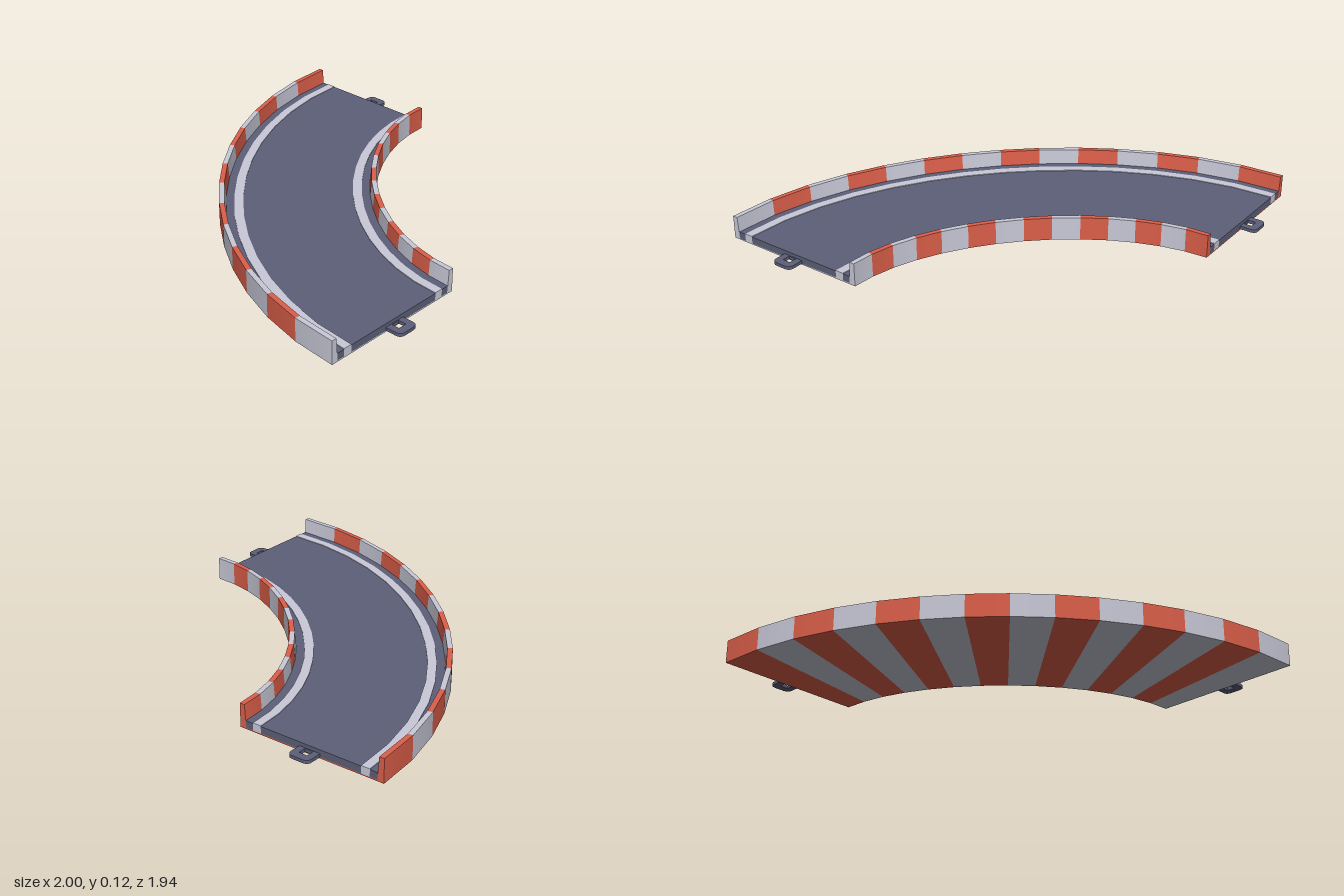
import * as THREE from 'three';

const material = (name, color) => {
  const m = new THREE.MeshStandardMaterial({ color });
  m.name = name;
  return m;
};

export function createModel() {
  const group = new THREE.Group();
  group.name = 'curvedTrackPiece';
  const red = material('red', 0xdc5f4a);
  const white = material('white', 0xc9c9d8);
  const asphalt = material('asphalt', 0x5c5f78);

  // Centre line of the bend
  const N = 14;
  const R = 1.51, K = 0.49;
  const centre = new THREE.Vector3(0.888, 0, 0.913);
  const u0 = new THREE.Vector3(-1, 0, -0.02);
  const u1 = new THREE.Vector3(0.02, 0, -1);
  const p0 = centre.clone().addScaledVector(u0, R);
  const p3 = centre.clone().addScaledVector(u1, R);
  const path = new THREE.CubicBezierCurve3(
    p0, p0.clone().addScaledVector(u1, R * K),
    p3.clone().addScaledVector(u0, R * K), p3);

  // Frames along the bend: n points to the outside of the curve
  const stations = [];
  for (let i = 0; i <= N; i++) {
    const t = path.getTangentAt(i / N);
    stations.push({ p: path.getPointAt(i / N), t, n: new THREE.Vector3(t.z, 0, -t.x) });
  }

  // Sweep a counter-clockwise [offset, height] profile from station i0 to i1
  function sweep(profile, i0, i1) {
    const pos = [], nor = [];
    const add = (s, [o, y], normal) => {
      pos.push(s.p.x + s.n.x * o, y, s.p.z + s.n.z * o);
      nor.push(normal.x, normal.y, normal.z);
    };
    for (let i = i0; i < i1; i++) {
      const s = stations[i], e = stations[i + 1];
      profile.forEach((a, j) => {
        const b = profile[(j + 1) % profile.length];
        const len = Math.hypot(b[0] - a[0], b[1] - a[1]);
        const no = (b[1] - a[1]) / len, ny = (a[0] - b[0]) / len;
        const ns = new THREE.Vector3(s.n.x * no, ny, s.n.z * no);
        const ne = new THREE.Vector3(e.n.x * no, ny, e.n.z * no);
        add(s, a, ns); add(s, b, ns); add(e, b, ne);
        add(s, a, ns); add(e, b, ne); add(e, a, ne);
      });
    }
    // Caps only at the two ends of the track
    const faces = THREE.ShapeUtils.triangulateShape(
      profile.map(([x, y]) => new THREE.Vector2(x, y)), []);
    for (const [a, b, c] of faces) {
      if (i0 === 0) {
        const back = stations[0].t.clone().negate();
        [a, c, b].forEach(k => add(stations[0], profile[k], back));
      }
      if (i1 === N) [a, b, c].forEach(k => add(stations[N], profile[k], stations[N].t));
    }
    const g = new THREE.BufferGeometry();
    g.setAttribute('position', new THREE.Float32BufferAttribute(pos, 3));
    g.setAttribute('normal', new THREE.Float32BufferAttribute(nor, 3));
    return g;
  }

  function addMesh(name, geometry, mat) {
    const mesh = new THREE.Mesh(geometry, mat);
    mesh.name = name;
    group.add(mesh);
    return mesh;
  }

  // Striped barriers, joined by a thin base underneath
  const barrier = [
    [-0.375, 0], [0.375, 0], [0.375, 0.115], [0.35, 0.115],
    [0.342, 0.006], [-0.342, 0.006], [-0.35, 0.115], [-0.375, 0.115],
  ];
  for (let i = 0; i < N; i++) {
    addMesh('barrierStripe', sweep(barrier, i, i + 1), i % 2 ? red : white);
  }

  // Road surface and its edge lines
  const band = (a, b, top) => [[a, 0.005], [b, 0.005], [b, top], [a, top]];
  addMesh('road', sweep(band(-0.262, 0.262, 0.04), 0, N), asphalt);
  for (const [a, b] of [[0.305, 0.344], [-0.344, -0.305]]) {
    addMesh('roadEdge', sweep(band(a, b, 0.04), 0, N), asphalt);
  }
  for (const [a, b] of [[0.262, 0.305], [-0.305, -0.262]]) {
    addMesh('edgeLine', sweep(band(a, b, 0.043), 0, N), white);
  }

  // Connector loops at both ends
  const loop = new THREE.Shape();
  loop.moveTo(-0.054, -0.03);
  loop.lineTo(0.054, -0.03);
  loop.lineTo(0.054, 0.052);
  loop.quadraticCurveTo(0.054, 0.081, 0.025, 0.081);
  loop.lineTo(-0.025, 0.081);
  loop.quadraticCurveTo(-0.054, 0.081, -0.054, 0.052);
  loop.closePath();
  const hole = new THREE.Path();
  hole.moveTo(-0.021, 0.004);
  hole.lineTo(-0.021, 0.043);
  hole.lineTo(0.021, 0.043);
  hole.lineTo(0.021, 0.004);
  hole.closePath();
  loop.holes.push(hole);
  const loopGeometry = new THREE.ExtrudeGeometry(loop, {
    depth: 0.016, bevelEnabled: false, curveSegments: 5,
  });
  loopGeometry.rotateX(Math.PI / 2);
  for (const [s, sign] of [[stations[0], -1], [stations[N], 1]]) {
    const connector = addMesh('connectorLoop', loopGeometry, asphalt);
    connector.position.set(s.p.x, 0.022, s.p.z);
    connector.rotation.y = Math.atan2(s.t.x * sign, s.t.z * sign);
  }

  return group;
}
